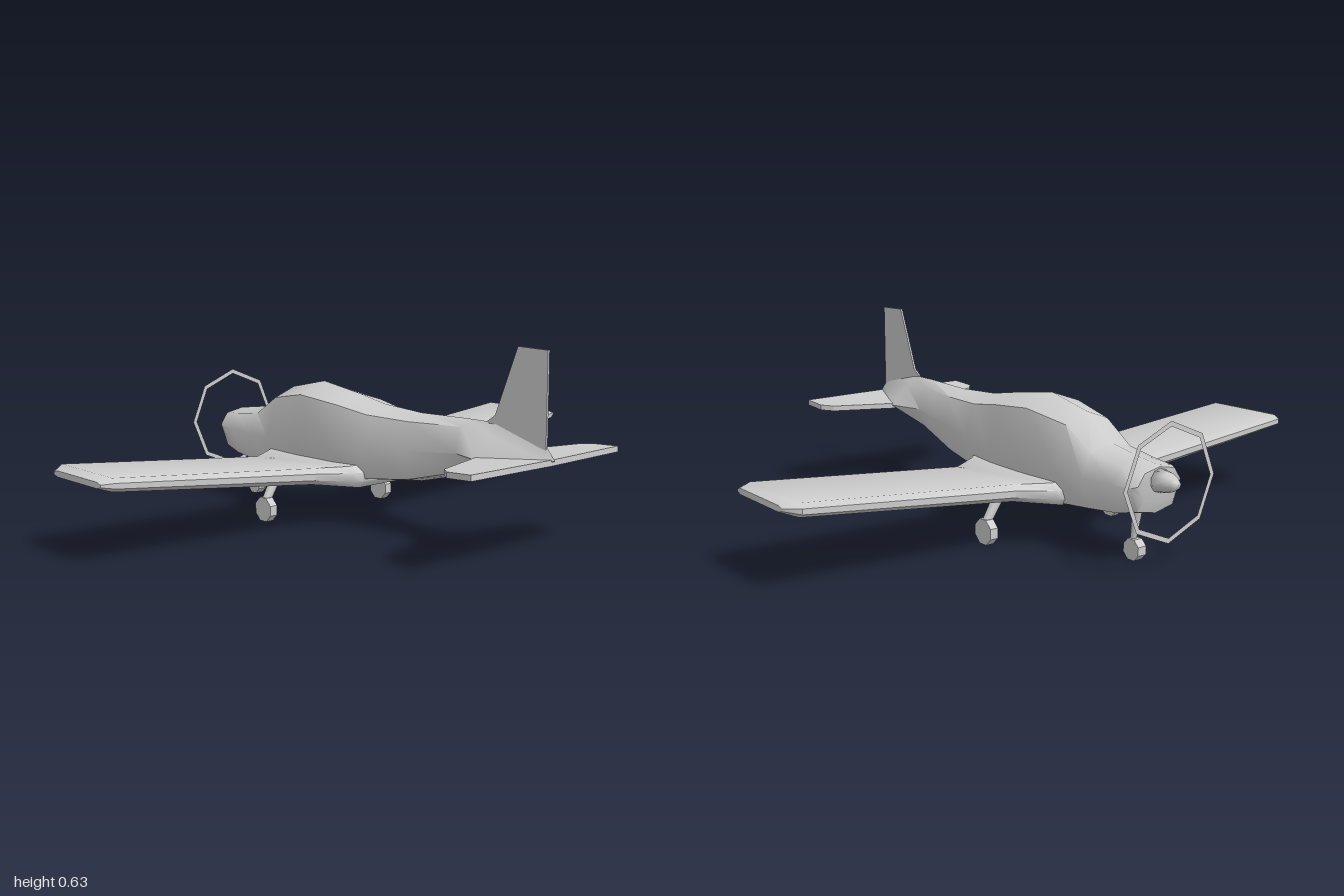
import * as THREE from 'three';
import { mergeVertices, toCreasedNormals } from 'three/addons/utils/BufferGeometryUtils.js';

const material = new THREE.MeshStandardMaterial({ color: 0xcccccc });
const thinMaterial = new THREE.MeshStandardMaterial({ color: 0xcccccc, side: THREE.DoubleSide });

function part(name, geometry, mat = material) {
  const mesh = new THREE.Mesh(geometry, mat);
  mesh.name = name;
  return mesh;
}

// Skin a list of equal-length rings of [x, y, z] and close both ends
function loft(rings, crease) {
  const n = rings[0].length;
  const index = [];
  for (let i = 0; i < rings.length - 1; i++) {
    for (let j = 0; j < n; j++) {
      const a = i * n + j, b = i * n + (j + 1) % n;
      index.push(a, b, b + n, a, b + n, a + n);
    }
  }
  const last = (rings.length - 1) * n;
  for (let j = 1; j < n - 1; j++) {
    index.push(0, j + 1, j, last, last + j, last + j + 1);
  }
  const g = new THREE.BufferGeometry();
  g.setAttribute('position', new THREE.Float32BufferAttribute(rings.flat(2), 3));
  g.setIndex(index);
  return toCreasedNormals(mergeVertices(g), crease);
}

// Flat plate extruded from an outline, centred on its thickness
function plate(points, thickness) {
  const shape = new THREE.Shape(points.map(p => new THREE.Vector2(...p)));
  return new THREE.ExtrudeGeometry(shape, { depth: thickness, bevelEnabled: false })
    .translate(0, 0, -thickness / 2);
}

// Tapered strut between two points
function strut(name, from, to, r0, r1) {
  const a = new THREE.Vector3(...from), b = new THREE.Vector3(...to);
  const dir = b.clone().sub(a);
  const mesh = part(name, new THREE.CylinderGeometry(r1, r0, dir.length(), 8));
  mesh.position.copy(a).add(b).multiplyScalar(0.5);
  mesh.quaternion.setFromUnitVectors(new THREE.Vector3(0, 1, 0), dir.normalize());
  return mesh;
}

function wheel(name, x, y, z, radius, width) {
  const g = new THREE.CylinderGeometry(radius, radius, width, 8)
    .rotateY(Math.PI / 8).rotateZ(Math.PI / 2);
  const mesh = part(name, toCreasedNormals(g, 0.6));
  mesh.position.set(x, y, z);
  return mesh;
}

export function createModel() {
  const plane = new THREE.Group();
  plane.name = 'airplane';

  // Fuselage: z, top y, shoulder x/y, side x/y, lower x/y, bottom y
  const stations = [
    [-0.71, 0.308, 0.06, 0.296, 0.085, 0.26, 0.06, 0.215, 0.205],
    [-0.695, 0.313, 0.066, 0.3, 0.097, 0.255, 0.07, 0.18, 0.166],
    [-0.62, 0.322, 0.073, 0.305, 0.104, 0.25, 0.08, 0.162, 0.15],
    [-0.5, 0.341, 0.08, 0.32, 0.115, 0.25, 0.09, 0.152, 0.143],
    [-0.39, 0.42, 0.085, 0.388, 0.125, 0.25, 0.1, 0.145, 0.139],
    [-0.225, 0.455, 0.108, 0.417, 0.129, 0.24, 0.105, 0.143, 0.138],
    [-0.05, 0.43, 0.1, 0.4, 0.129, 0.25, 0.1, 0.15, 0.145],
    [0.08, 0.407, 0.085, 0.38, 0.121, 0.27, 0.09, 0.17, 0.16],
    [0.25, 0.397, 0.063, 0.375, 0.092, 0.285, 0.065, 0.19, 0.177],
    [0.45, 0.402, 0.035, 0.38, 0.057, 0.3, 0.04, 0.24, 0.227],
    [0.565, 0.402, 0.03, 0.365, 0.1, 0.303, 0.045, 0.267, 0.243],
    [0.755, 0.356, 0.004, 0.342, 0.016, 0.317, 0.008, 0.311, 0.307],
    [0.787, 0.319, 0.001, 0.318, 0.002, 0.316, 0.001, 0.315, 0.314],
  ];
  const bodyRings = stations.map(([z, top, sx, sy, mx, my, lx, ly, bottom]) => [
    [0, top, z], [-sx, sy, z], [-mx, my, z], [-lx, ly, z],
    [0, bottom, z], [lx, ly, z], [mx, my, z], [sx, sy, z],
  ]);
  plane.add(part('fuselage', loft(bodyRings, 0.9)));

  // Wing, tip to tip with root fillets: x, front z, rear z, bottom y, top y
  const half = [
    [0.1, -0.41, 0.08, 0.139, 0.215],
    [0.125, -0.395, 0.06, 0.142, 0.21],
    [0.23, -0.33, -0.003, 0.155, 0.208],
    [0.96, -0.338, -0.012, 0.236, 0.277],
    [1, -0.295, -0.03, 0.249, 0.268],
  ];
  const span = [...half.map(([x, ...rest]) => [-x, ...rest]).reverse(), ...half];
  const wingRings = span.map(([x, f, r, b, t]) => {
    const m = (b + t) / 2, h = (t - b) * 0.2;
    return [
      [x, m - h, f], [x, m + h, f], [x, t, f + 0.02], [x, t, r - 0.02],
      [x, m + h, r], [x, m - h, r], [x, b, r - 0.02], [x, b, f + 0.02],
    ];
  });
  plane.add(part('wing', loft(wingRings, 0.75)));

  // Tailplane
  const side = [[0.1, 0.568], [0.3, 0.638], [0.33, 0.675], [0.33, 0.768]];
  const outline = [...side, [0, 0.78], ...side.map(([x, z]) => [-x, z]).reverse()];
  const tailplane = part('tailplane', plate(outline, 0.018));
  tailplane.rotation.x = Math.PI / 2 - 0.05;
  tailplane.position.y = 0.271;
  plane.add(tailplane);

  // Tail fin
  const fin = part('tailFin', plate(
    [[0.757, 0.325], [0.757, 0.634], [0.644, 0.637], [0.56, 0.425], [0.53, 0.404], [0.6, 0.34]]
      .map(([z, y]) => [-z, y]), 0.007));
  fin.rotation.y = Math.PI / 2;
  plane.add(fin);

  // Spinner and propeller ring
  const profile = [[0, 0], [0.037, 0], [0.031, 0.035], [0.021, 0.062], [0.012, 0.074], [0, 0.077]];
  const spinner = part('spinner', new THREE.LatheGeometry(
    profile.map(p => new THREE.Vector2(...p)), 10));
  spinner.rotation.x = -Math.PI / 2;
  spinner.position.set(0, 0.267, -0.71);
  plane.add(spinner);
  const ring = part('propellerRing', new THREE.RingGeometry(0.166, 0.182, 8, 1), thinMaterial);
  ring.position.set(0, 0.268, -0.752);
  plane.add(ring);

  // Main landing gear
  for (const s of [-1, 1]) {
    const name = s > 0 ? 'left' : 'right';
    plane.add(wheel(name + 'MainWheel', s * 0.262, 0.046, -0.222, 0.043, 0.028));
    plane.add(strut(name + 'MainLeg', [s * 0.26, 0.078, -0.222], [s * 0.205, 0.17, -0.225], 0.015, 0.018));
  }

  // Nose gear
  plane.add(wheel('noseWheel', 0, 0.036, -0.612, 0.035, 0.032));
  plane.add(strut('noseLeg', [0, 0.055, -0.604], [0, 0.17, -0.622], 0.009, 0.016));
  return plane;
}
